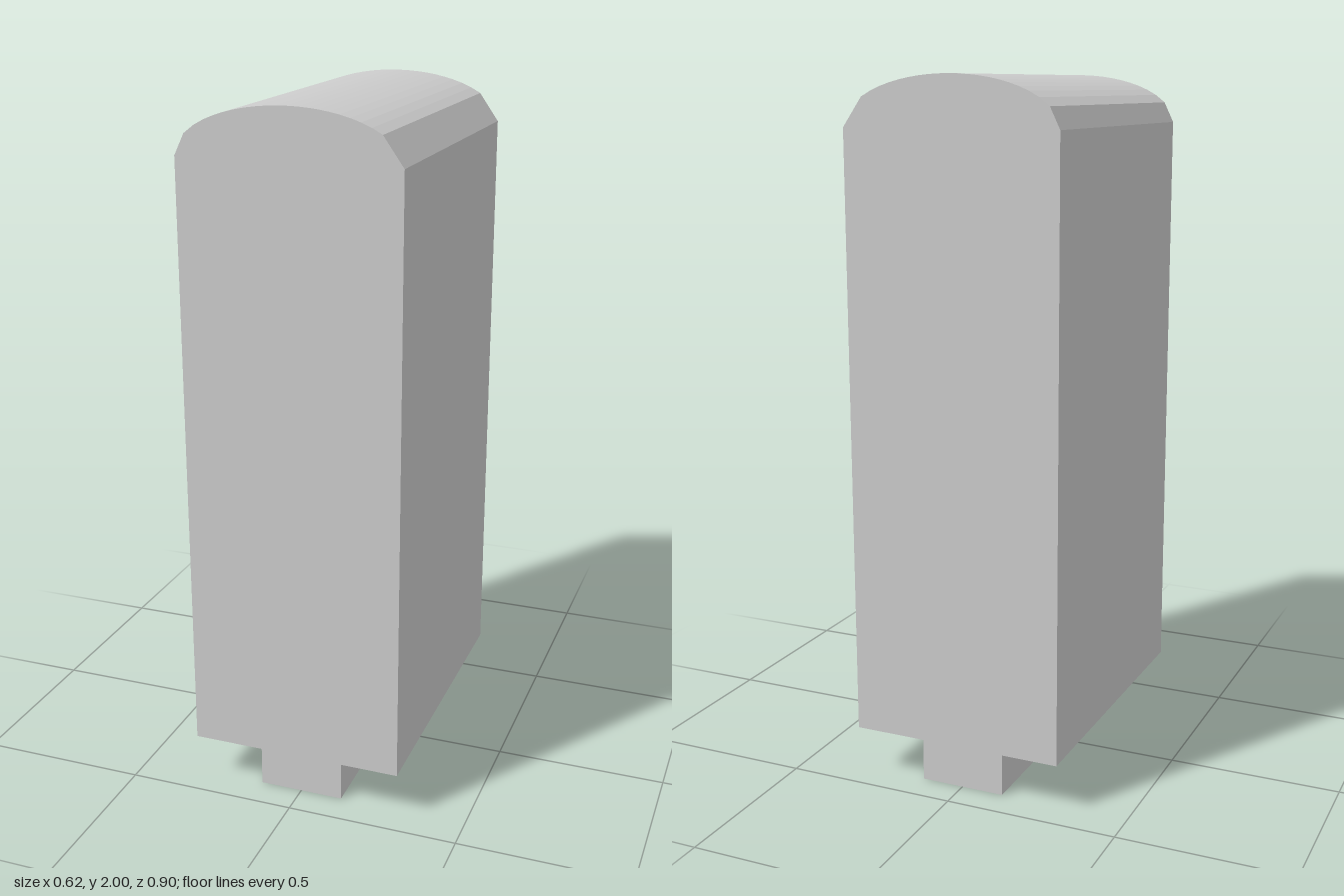
import * as THREE from 'three';

const HALF_WIDTH = 0.311, DEPTH = 0.905;
const BODY_BASE = 0.147, SHOULDER = 1.861, TOP = 2;
const STEPS = 22;

export function createModel() {
  const model = new THREE.Group();
  const material = new THREE.MeshStandardMaterial({ color: 0xcccccc });

  // Body: tall slab with a half-elliptical crown, extruded front to back
  const profile = new THREE.Shape();
  profile.moveTo(-HALF_WIDTH, BODY_BASE);
  profile.lineTo(HALF_WIDTH, BODY_BASE);
  for (let i = STEPS; i >= 0; i--) {
    if (i === STEPS - 1) continue; // the right shoulder is one wide chamfer
    const t = (2 * i) / STEPS - 1;
    profile.lineTo(t * HALF_WIDTH, SHOULDER + (TOP - SHOULDER) * Math.sqrt(1 - t * t));
  }
  profile.closePath();
  const bodyGeometry = new THREE.ExtrudeGeometry(profile, { depth: DEPTH, bevelEnabled: false });
  bodyGeometry.translate(0, 0, -DEPTH / 2);
  const body = new THREE.Mesh(bodyGeometry, material);
  body.name = 'body';
  model.add(body);

  // Foot: narrow plinth bar under the body
  const foot = new THREE.Mesh(new THREE.BoxGeometry(0.25, BODY_BASE, 0.81), material);
  foot.name = 'foot';
  foot.position.y = BODY_BASE / 2;
  model.add(foot);

  return model;
}
